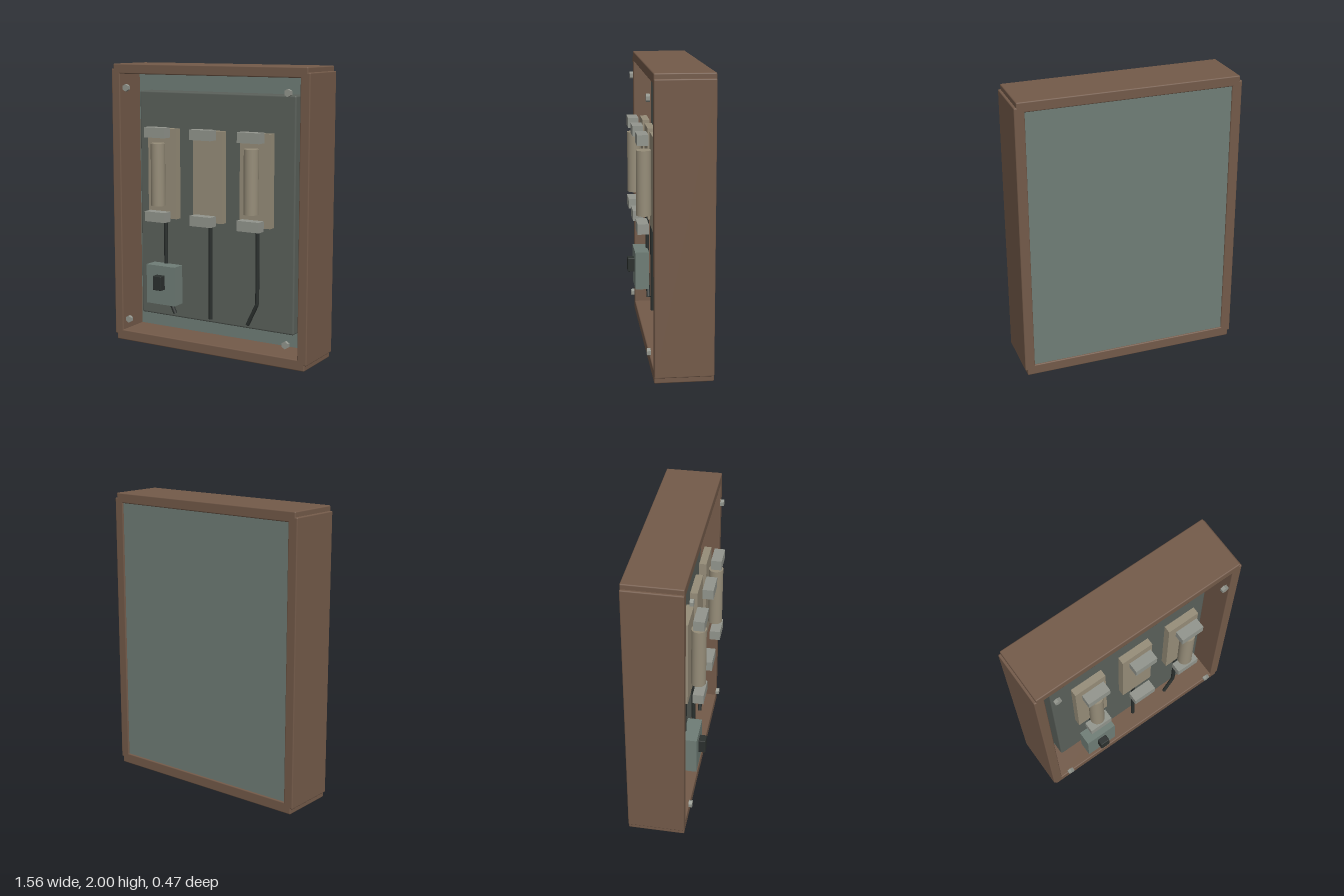
import * as THREE from 'three';
import { RoundedBoxGeometry } from 'three/addons/geometries/RoundedBoxGeometry.js';

const material = (color) => new THREE.MeshStandardMaterial({ color });

export function createModel() {
  const root = new THREE.Group();
  root.name = 'fuseBox';

  const brown = material(0x735a49);
  const green = material(0x6f7d76);
  const darkGreen = material(0x5a605a);
  const tan = material(0x968d79);
  const metal = material(0x92958d);
  const black = material(0x2b302e);

  const add = (parent, name, geometry, mat) => {
    const mesh = new THREE.Mesh(geometry, mat);
    mesh.name = name;
    parent.add(mesh);
    return mesh;
  };

  // Box given by its limits on each axis, optionally with rounded edges
  const box = (parent, name, mat, [x0, x1], [y0, y1], [z0, z1], radius = 0) => {
    const size = [x1 - x0, y1 - y0, z1 - z0];
    const geometry = radius
      ? new RoundedBoxGeometry(...size, 2, radius)
      : new THREE.BoxGeometry(...size);
    const mesh = add(parent, name, geometry, mat);
    mesh.position.set((x0 + x1) / 2, (y0 + y1) / 2, (z0 + z1) / 2);
    return mesh;
  };

  // Case: four rails, the side rails standing slightly proud
  const depth = [-0.235, 0.155];
  box(root, 'bottomRail', brown, [-0.762, 0.762], [0, 0.075], depth, 0.008);
  box(root, 'topRail', brown, [-0.762, 0.762], [1.93, 2], depth, 0.008);
  box(root, 'rightRail', brown, [-0.778, -0.708], [0.04, 1.965], depth, 0.008);
  box(root, 'leftRail', brown, [0.708, 0.778], [0.04, 1.965], depth, 0.008);

  // Back panel and the raised mounting plate
  box(root, 'backPanel', green, [-0.712, 0.712], [0.07, 1.935], [-0.225, -0.09]);
  box(root, 'mountingPlate', darkGreen, [-0.62, 0.62], [0.197, 1.81], [-0.1, 0.035], 0.012);

  // Corner screws with hexagonal heads
  for (const x of [-0.635, 0.635]) {
    for (const y of [0.172, 1.835]) {
      const screw = add(root, 'screw', new THREE.CylinderGeometry(0.026, 0.026, 0.024, 6), metal);
      screw.material.flatShading = true;
      screw.rotation.x = Math.PI / 2;
      screw.position.set(x, y, 0.178);
    }
  }

  // Three fuse holders; the middle one is empty
  for (const x of [-0.37, 0, 0.37]) {
    const holder = new THREE.Group();
    holder.name = 'fuseHolder';
    holder.position.x = x;
    root.add(holder);
    box(holder, 'fuseBase', tan, [-0.117, 0.117], [0.93, 1.56], [0.08, 0.13]);
    for (const y of [0.915, 1.502]) {
      box(holder, 'fuseClip', metal, [-0.083, 0.083], [y, y + 0.07], [0.157, 0.23]);
    }
    if (x !== 0) {
      const fuse = add(holder, 'fuse', new THREE.CylinderGeometry(0.05, 0.05, 0.435, 20), tan);
      fuse.position.set(0, 1.244, 0.182);
    }

    // Cable below the holder; the outer ones bend towards the middle
    const bend = -Math.sign(x) * 0.075;
    const path = new THREE.CurvePath();
    const points = [[0, 0.95], [0, 0.395], [bend, 0.24]]
      .map(([px, py]) => new THREE.Vector3(px, py, 0.09));
    for (let i = 0; i < 2; i++) {
      path.add(new THREE.LineCurve3(points[i], points[i + 1]));
    }
    add(holder, 'cable', new THREE.TubeGeometry(path, 32, 0.014, 8), black);
    // Closed cable end
    const end = add(holder, 'cableEnd', new THREE.CircleGeometry(0.014, 8), black);
    end.position.copy(points[2]);
    end.lookAt(points[2].clone().multiplyScalar(2).sub(points[1]).add(new THREE.Vector3(x, 0, 0)));
  }

  // Switch box with its toggle
  box(root, 'switchBox', green, [-0.47, -0.235], [0.32, 0.598], [0.09, 0.19]);
  box(root, 'switchToggle', black, [-0.387, -0.317], [0.43, 0.532], [0.185, 0.238], 0.005);

  return root;
}
